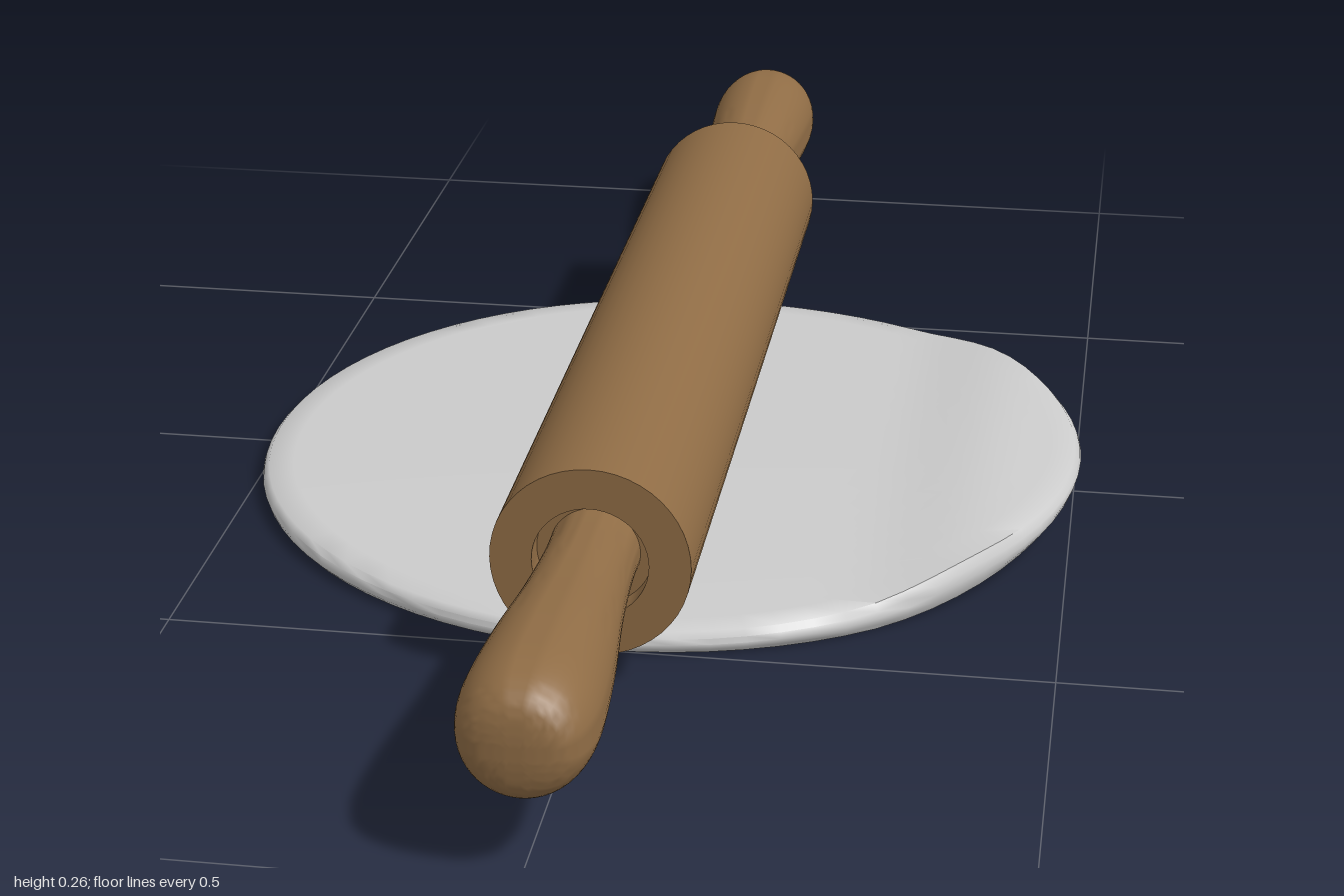
import * as THREE from 'three';
import { toCreasedNormals } from 'three/addons/utils/BufferGeometryUtils.js';

const WOOD = new THREE.MeshStandardMaterial({ color: 0x8f6c45 });
const DOUGH = new THREE.MeshStandardMaterial({ color: 0xcccccc });
const AXIS_Y = 0.148;

const points = (list) => list.map(([r, h]) => new THREE.Vector2(r, h));

// Turned part lying along z
function turned(name, profile) {
  const geometry = new THREE.LatheGeometry(profile, 48);
  geometry.rotateX(Math.PI / 2);
  const mesh = new THREE.Mesh(toCreasedNormals(geometry, 0.7), WOOD);
  mesh.name = name;
  mesh.position.y = AXIS_Y;
  return mesh;
}

// Flattened disc with a thicker, slightly lifted edge on the +x side
function makeDough() {
  const R = 0.507, steps = 16, profile = [];
  for (let i = 0; i <= steps; i++) profile.push([(R - 0.008) * i / steps, 0]);
  profile.push([R - 0.002, 0.25], [R, 0.5], [R - 0.002, 0.75]);
  for (let i = steps; i >= 0; i--) profile.push([(R - 0.008) * i / steps, 1]);

  const geometry = new THREE.LatheGeometry(points(profile), 80);
  const pos = geometry.attributes.position;
  const smooth = THREE.MathUtils.smoothstep;
  for (let i = 0; i < pos.count; i++) {
    const x = pos.getX(i), z = pos.getZ(i);
    const slope = Math.min(1, Math.max(0, (x + 0.5) / 0.8));
    const dome = 0.02 * slope * Math.max(0, 1 - (z / 0.5) ** 2);
    const top = 0.025 + dome + 0.014 * smooth(x, 0.27, 0.4) - 0.008 * smooth(x, 0.4, 0.5);
    const bottom = 0.003 + 0.03 * Math.max(0, (x - 0.28) / 0.227) ** 1.7;
    pos.setY(i, THREE.MathUtils.lerp(bottom - 0.003, top, pos.getY(i)));
  }
  const mesh = new THREE.Mesh(toCreasedNormals(geometry, 0.9), DOUGH);
  mesh.name = 'dough';
  return mesh;
}

export function createModel() {
  const group = new THREE.Group();
  group.name = 'rollingPinAndDough';
  group.add(makeDough());

  // Barrel with a shallow socket at each end
  group.add(turned('roller', points([
    [0, -0.55], [0.064, -0.55], [0.064, -0.582], [0.11, -0.582],
    [0.11, 0.582], [0.064, 0.582], [0.064, 0.55], [0, 0.55],
  ])));

  // Handles swelling towards rounded ends
  const swell = new THREE.SplineCurve(points([
    [0.05, 0.54], [0.05, 0.6], [0.056, 0.7], [0.066, 0.8], [0.072, 0.89],
    [0.071, 0.94], [0.062, 0.975], [0.045, 0.993], [0.02, 0.999], [0, 1],
  ])).getPoints(40);
  swell[swell.length - 1].x = 0;
  for (const side of [1, -1]) {
    const handle = turned(side > 0 ? 'frontHandle' : 'backHandle', swell);
    if (side < 0) handle.rotation.y = Math.PI;
    group.add(handle);
  }
  return group;
}
